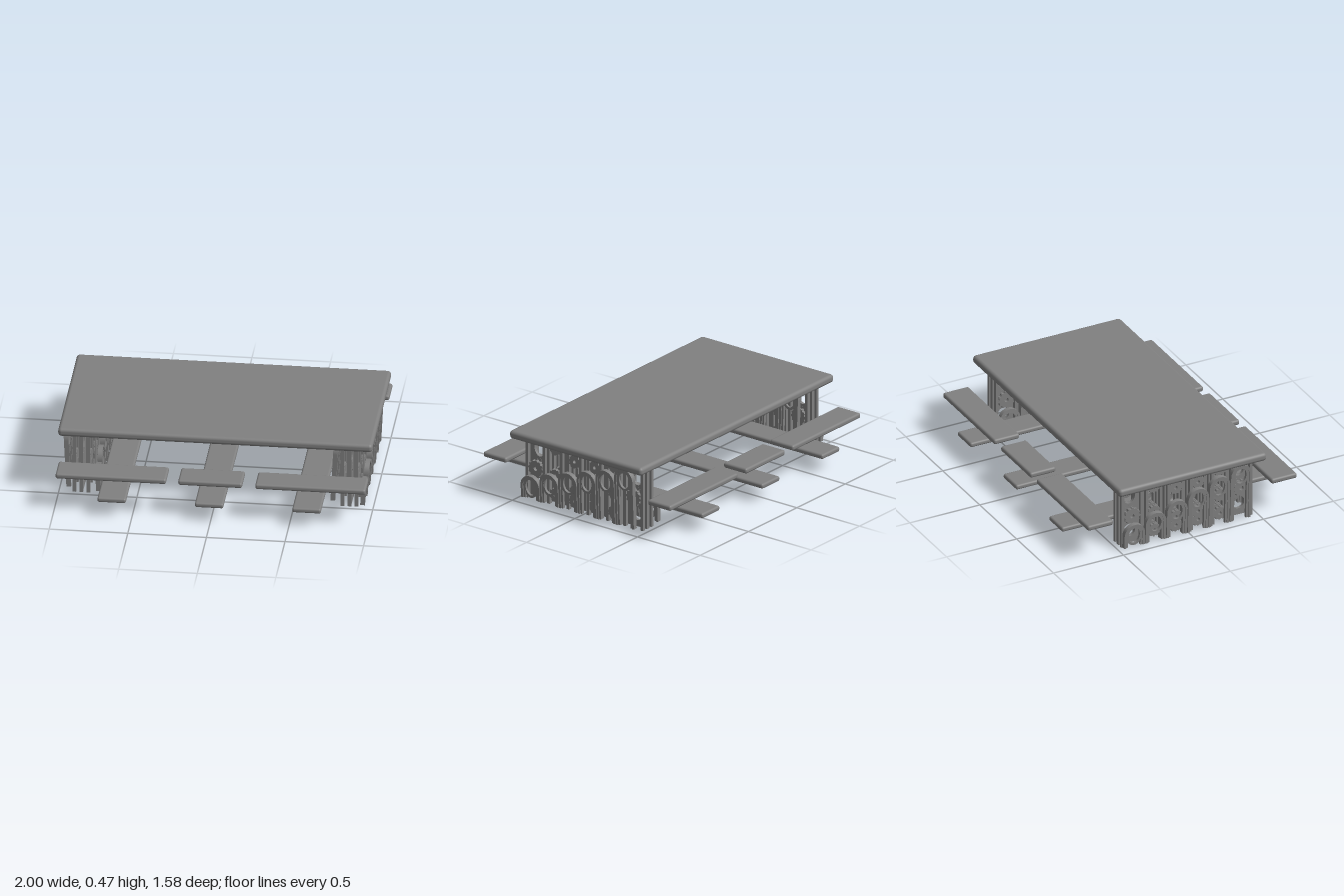
import * as THREE from 'three';
import { RoundedBoxGeometry } from 'three/addons/geometries/RoundedBoxGeometry.js';

const material = new THREE.MeshStandardMaterial({ color: 0x808080 });

function add(parent, name, geometry, x = 0, y = 0, z = 0) {
  const mesh = new THREE.Mesh(geometry, material);
  mesh.name = name;
  mesh.position.set(x, y, z);
  parent.add(mesh);
}

function slab(parent, name, [x0, x1], [y0, y1], [z0, z1], radius) {
  const g = new RoundedBoxGeometry(x1 - x0, y1 - y0, z1 - z0, 3, radius);
  add(parent, name, g, (x0 + x1) / 2, (y0 + y1) / 2, (z0 + z1) / 2);
}

// Extrude a shape drawn in (z, y) so that its thickness runs along x
function plate(shape, depth) {
  const g = new THREE.ExtrudeGeometry(shape, { depth, bevelEnabled: false, curveSegments: 16 });
  g.translate(0, 0, -depth / 2);
  g.rotateY(-Math.PI / 2);
  return g;
}

function ovalHole(y, rz, ry) {
  return new THREE.Path().absellipse(0, y, rz, ry, 0, Math.PI * 2, true);
}

// Upside-down U: round head and two straight legs
function archGeometry(top, outer, inner, depth, foot) {
  const s = new THREE.Shape();
  const spring = top - outer;
  s.moveTo(outer, foot);
  s.lineTo(outer, spring);
  s.absarc(0, spring, outer, 0, Math.PI, false);
  s.lineTo(-outer, foot);
  s.lineTo(-inner, foot);
  s.lineTo(-inner, spring);
  s.absarc(0, spring, inner, Math.PI, 0, true);
  s.lineTo(inner, foot);
  return plate(s, depth);
}

// Oval eye held inside each arch head
function eyeGeometry(depth) {
  const s = new THREE.Shape();
  s.absellipse(0, 0, 0.057, 0.072, 0, Math.PI * 2);
  s.holes.push(ovalHole(0, 0.039, 0.056));
  return plate(s, depth);
}

// Toothed wheel with a round bore
function gearGeometry(radius, depth) {
  const s = new THREE.Shape();
  const teeth = 12;
  for (let i = 0; i < teeth * 4; i++) {
    const r = i % 4 < 2 ? radius : radius * 0.88;
    const a = (i / (teeth * 4)) * Math.PI * 2;
    if (i === 0) s.moveTo(r, 0);
    else s.lineTo(r * Math.cos(a), r * Math.sin(a));
  }
  s.holes.push(ovalHole(0, radius * 0.25, radius * 0.25));
  return plate(s, depth);
}

// Full-height end panel with an oval opening high and low
function panelGeometry(depth) {
  const s = new THREE.Shape();
  s.moveTo(-0.078, 0);
  s.lineTo(0.078, 0);
  s.lineTo(0.078, 0.416);
  s.lineTo(-0.078, 0.416);
  s.holes.push(ovalHole(0.338, 0.042, 0.058), ovalHole(0.088, 0.042, 0.045));
  return plate(s, depth);
}

// A row of six arches climbing like a stair; dir = -1 climbs to the back
function archRow(name, x, dir) {
  const row = new THREE.Group();
  row.name = name;
  for (let i = 0; i < 6; i++) {
    const z = -dir * (0.398 - 0.151 * i);
    const top = 0.175 + 0.048 * i;
    add(row, 'outerArch', archGeometry(top, 0.073, 0.057, 0.03, 0.015), 0, 0, z);
    add(row, 'innerArch', archGeometry(top - 0.014, 0.059, 0.043, 0.018, 0.015), 0, 0, z);
    add(row, 'archEye', eyeGeometry(0.016), 0, top - 0.08, z);
  }
  row.position.x = x;
  row.rotation.z = -0.05;
  return row;
}

// Gear column: half width between posts, gear radius and gear heights
const columns = [
  { z: 0.39, half: 0.068, radius: 0.058, gears: [0.21] },
  { z: 0.235, half: 0.05, radius: 0.046, gears: [0.07, 0.2, 0.385] },
  { z: 0.08, half: 0.05, radius: 0.046, gears: [0.065, 0.125, 0.335] },
];

// One trestle for the +x end: two opposed arch rows with posts and gears between
function createTrestle(name) {
  const trestle = new THREE.Group();
  trestle.name = name;
  trestle.add(archRow('outerArchRow', 0.931, -1));
  trestle.add(archRow('innerArchRow', 0.737, 1));

  for (const side of [-1, 1]) {
    for (const { z: centre, half, radius, gears } of columns) {
      const z = side * centre;
      for (const x of [0.892, 0.848, 0.803]) {
        // Posts flanking the column
        for (const edge of [-1, 1]) {
          add(trestle, 'post', new THREE.BoxGeometry(0.024, 0.416, 0.02), x, 0.208, z + edge * half);
        }
        // Gears stacked between the posts
        for (const y of gears) {
          add(trestle, 'gear', gearGeometry(radius, 0.022), x, y, z);
        }
      }
    }
    add(trestle, 'endPanel', panelGeometry(0.02), 0.848, 0, side * 0.39);
  }
  return trestle;
}

export function createModel() {
  const model = new THREE.Group();
  model.name = 'picnicTable';

  slab(model, 'tableTop', [-1, 1], [0.415, 0.47], [-0.528, 0.528], 0.022);

  // Three cross planks carry the benches
  for (const x of [-0.628, -0.008, 0.612]) {
    slab(model, 'crossPlank', [x - 0.091, x + 0.091], [0.099, 0.132], [-0.79, 0.79], 0.013);
  }

  // Bench seats along both long sides
  const seats = [[-0.99, -0.287], [-0.21, 0.197], [0.28, 0.982]];
  for (const side of [-1, 1]) {
    for (const span of seats) {
      const z = side < 0 ? [-0.748, -0.565] : [0.565, 0.748];
      slab(model, 'benchSeat', span, [0.228, 0.264], z, 0.014);
    }
  }

  // The second trestle is the first turned half way round
  const right = createTrestle('rightTrestle');
  right.rotation.y = Math.PI;
  right.position.x = -0.01;
  model.add(createTrestle('leftTrestle'), right);
  return model;
}
